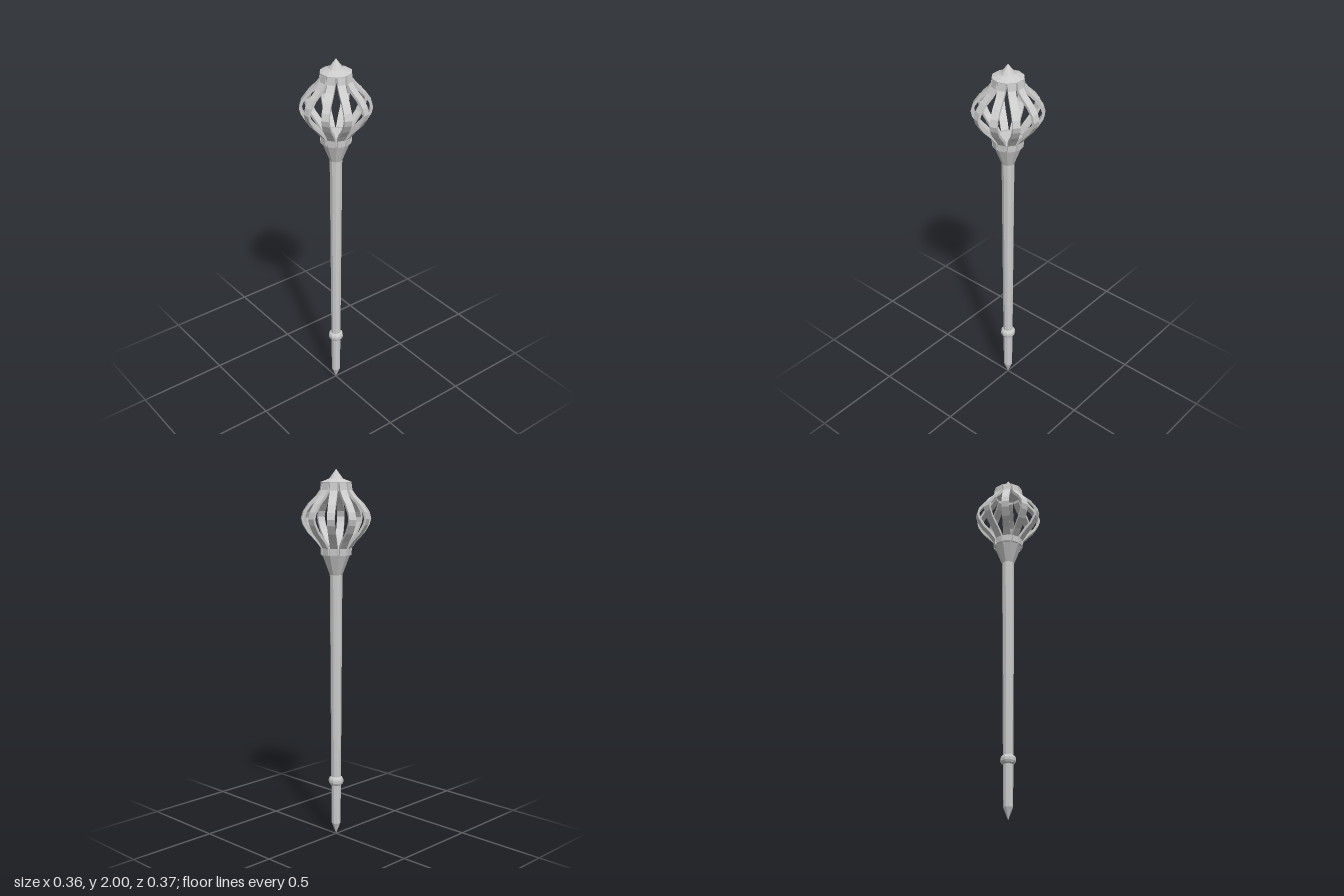
import * as THREE from 'three';

const SIDES = 10;

export function createModel() {
  const group = new THREE.Group();
  const material = new THREE.MeshStandardMaterial({ color: 0xcccccc, flatShading: true });

  // Ten-sided turned part from [radius, height] pairs, listed bottom to top
  const turned = (name, profile) => {
    const points = profile.map(([r, y]) => new THREE.Vector2(r, y));
    const geometry = new THREE.LatheGeometry(points, SIDES, Math.PI / SIDES / 1);
    geometry.rotateY(-Math.PI / SIDES + Math.PI / 2);
    const mesh = new THREE.Mesh(geometry, material);
    mesh.name = name;
    group.add(mesh);
  };

  // Slim shaft with a pointed foot
  turned('shaft', [[0, 0], [0.025, 0.065], [0.027, 0.3], [0.034, 1.46]]);

  // Rounded ring above the grip
  turned('gripRing', [[0.024, 0.284], [0.036, 0.292], [0.041, 0.303],
    [0.041, 0.318], [0.036, 0.329], [0.024, 0.337]]);

  // Flared socket that carries the cage
  turned('socket', [[0.034, 1.45], [0.076, 1.56], [0.078, 1.595], [0.06, 1.6], [0, 1.6]]);

  // Cap with a small spike
  turned('cap', [[0, 1.9], [0.074, 1.9], [0.082, 1.933], [0.037, 1.95], [0, 2]]);

  // Bowed flat ribs: outer edge followed by the inner edge on the way back
  const outer = [[0.079, 1.555], [0.081, 1.592], [0.108, 1.628], [0.15, 1.672], [0.176, 1.715],
    [0.184, 1.746], [0.174, 1.782], [0.145, 1.823], [0.105, 1.862], [0.083, 1.892], [0.078, 1.93]];
  const inner = [[0.066, 1.93], [0.069, 1.885], [0.093, 1.852], [0.134, 1.814], [0.162, 1.776],
    [0.171, 1.746], [0.163, 1.72], [0.14, 1.682], [0.098, 1.639], [0.069, 1.602], [0.066, 1.555]];
  const shape = new THREE.Shape([...outer, ...inner].map(([r, y]) => new THREE.Vector2(r, y)));
  const width = 0.04;
  const ribGeometry = new THREE.ExtrudeGeometry(shape, { depth: width, bevelEnabled: false });
  ribGeometry.translate(0, 0, -width / 2);

  const cage = new THREE.Group();
  cage.name = 'cage';
  for (let i = 0; i < SIDES; i++) {
    const rib = new THREE.Mesh(ribGeometry, material);
    rib.name = 'rib';
    rib.rotation.y = ((i + 0.5) / SIDES) * Math.PI * 2;
    cage.add(rib);
  }
  group.add(cage);
  return group;
}
